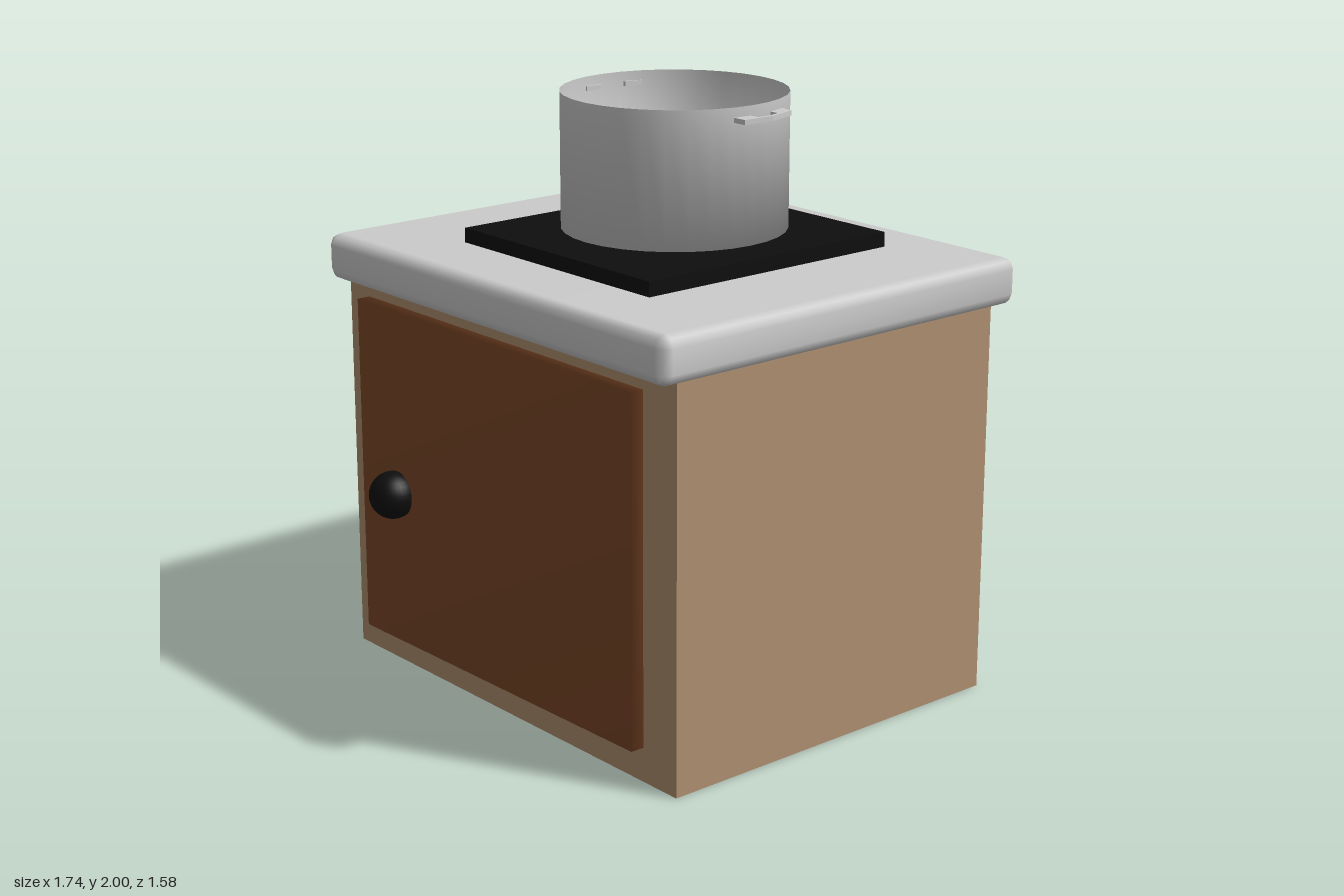
import * as THREE from 'three';
import { mergeVertices } from 'three/addons/utils/BufferGeometryUtils.js';
import { RoundedBoxGeometry } from 'three/addons/geometries/RoundedBoxGeometry.js';

const material = (color, side = THREE.FrontSide) => new THREE.MeshStandardMaterial({ color, side });

// Shares the corners so that shading runs smoothly over the edges.
function smooth(geometry) {
  geometry.deleteAttribute('normal');
  geometry.deleteAttribute('uv');
  const merged = mergeVertices(geometry, 1e-4);
  merged.computeVertexNormals();
  return merged;
}

export function createModel() {
  const group = new THREE.Group();
  const grey = material(0xcccccc);
  const black = material(0x0e0e0e);

  function add(name, geometry, mat, x = 0, y = 0, z = 0, parent = group) {
    const mesh = new THREE.Mesh(geometry, mat);
    mesh.name = name;
    mesh.position.set(x, y, z);
    parent.add(mesh);
    return mesh;
  }

  // Cabinet body and bevelled worktop
  add('cabinet', new THREE.BoxGeometry(1.69, 1.33, 1.34), material(0xb09070), -0.005, 0.665, -0.03);
  add('worktop', smooth(new RoundedBoxGeometry(1.74, 0.16, 1.51, 1, 0.04)), grey, 0, 1.4, -0.035);

  // Door, its lower edge slightly out of level
  const door = new THREE.BoxGeometry(1.425, 1.17, 0.09);
  const corners = door.attributes.position;
  for (let i = 0; i < corners.count; i++) {
    if (corners.getX(i) > 0 && corners.getY(i) < 0) corners.setY(i, corners.getY(i) + 0.015);
  }
  add('door', smooth(door), material(0x7c4727), -0.028, 0.685, 0.643);
  add('doorKnob', new THREE.SphereGeometry(0.081, 32, 16), black, -0.535, 0.635, 0.71);

  // Hob plate
  add('hobPlate', new THREE.BoxGeometry(0.94, 0.055, 1.01), black, 0.02, 1.502, -0.055);

  // Open thin-walled pot
  const pot = new THREE.Group();
  pot.name = 'pot';
  pot.position.set(0.037, 1.55, -0.042);
  group.add(pot);
  const profile = [[0, 0], [0.373, 0], [0.373, 0.45]].map(([r, y]) => new THREE.Vector2(r, y));
  add('potBody', new THREE.LatheGeometry(profile, 32), material(0xcccccc, THREE.DoubleSide), 0, 0, 0, pot);

  // Flat handles: two lugs joined by a slim bent bar, drawn in plan as x, z
  const outline = [
    [0.34, -0.155], [0.39, -0.15], [0.41, -0.09], [0.422, -0.04], [0.416, 0.072], [0.36, 0.072],
    [0.36, 0.01], [0.405, 0.005], [0.408, -0.04], [0.396, -0.085], [0.35, -0.085],
  ];
  for (const side of [1, -1]) {
    const shape = new THREE.Shape(outline.map(([x, z]) => new THREE.Vector2(side * x, -z)));
    const geometry = new THREE.ExtrudeGeometry(shape, { depth: 0.016, bevelEnabled: false });
    geometry.rotateX(-Math.PI / 2);
    add(side > 0 ? 'leftHandle' : 'rightHandle', geometry, grey, 0, 0.402, 0, pot);
  }
  return group;
}
